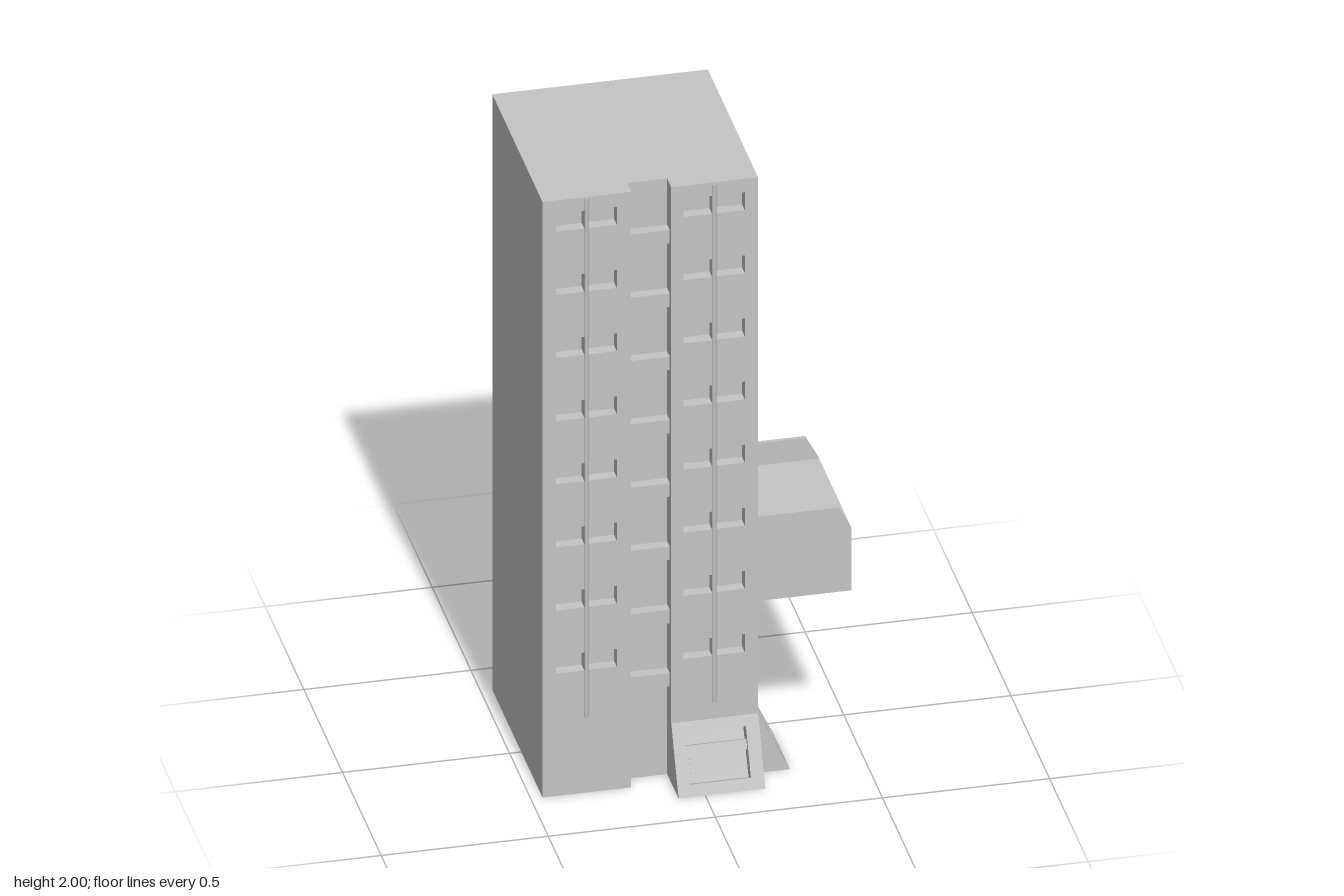
import * as THREE from 'three';

const concrete = new THREE.MeshStandardMaterial({ color: 0xc4c4c4 });
concrete.name = 'concrete grey';

function add(parent, name, geometry) {
  const mesh = new THREE.Mesh(geometry, concrete);
  mesh.name = name;
  parent.add(mesh);
  return mesh;
}

// Box given by its limits on each axis
function block(x0, x1, y0, y1, z0, z1) {
  return new THREE.BoxGeometry(x1 - x0, y1 - y0, z1 - z0)
    .translate((x0 + x1) / 2, (y0 + y1) / 2, (z0 + z1) / 2);
}

// Upright slab with rectangular openings [x0, x1, y0, y1]; front face at z = 0
function slab(points, openings, depth) {
  const shape = new THREE.Shape(points.map(([x, y]) => new THREE.Vector2(x, y)));
  for (const [x0, x1, y0, y1] of openings) {
    shape.holes.push(new THREE.Path([
      new THREE.Vector2(x0, y0), new THREE.Vector2(x0, y1),
      new THREE.Vector2(x1, y1), new THREE.Vector2(x1, y0),
    ]));
  }
  return new THREE.ExtrudeGeometry(shape, { depth, bevelEnabled: false }).translate(0, 0, -depth);
}

const rect = (x0, x1, y0, y1) => [[x0, y0], [x1, y0], [x1, y1], [x0, y1]];

// Turns a front slab so that it faces +x (its x becomes -z)
const faceSide = (geometry, x) => geometry.rotateY(Math.PI / 2).translate(x, 0, 0);

// Leans an upright piece back along the bay slope
function lean(geometry) {
  const p = geometry.attributes.position;
  for (let i = 0; i < p.count; i++) {
    const y = p.getY(i), d = p.getZ(i);
    p.setXYZ(i, p.getX(i), Math.max(0, y + 0.43 * d), 0.095 - 0.475 * y + 0.9 * d);
  }
  geometry.computeVertexNormals();
  return geometry;
}

// Sloped ground-floor bay with a recessed two-part window
function makeBay(name, width, x0, x1) {
  const bay = new THREE.Group();
  bay.name = name;
  add(bay, 'slopedFace', lean(slab(rect(0, width, 0, 0.2), [[x0, x1, 0.033, 0.17]], 0.04)));
  add(bay, 'bayPane', lean(block(0.01, width - 0.01, 0, 0.19, -0.045, -0.04)));
  add(bay, 'windowBar', lean(block(x0, x1, 0.108, 0.135, -0.04, -0.012)));
  add(bay, 'lowerPanel', lean(block(x0 + 0.015, x1 - 0.015, 0.055, 0.1, -0.04, -0.034)));
  // Triangular cheeks closing both ends
  for (const x of [0, width - 0.015]) {
    const cheek = new THREE.Shape([
      new THREE.Vector2(0, 0), new THREE.Vector2(0, 0.2), new THREE.Vector2(-0.095, 0),
    ]);
    add(bay, 'cheek', new THREE.ExtrudeGeometry(cheek, { depth: 0.015, bevelEnabled: false })
      .rotateY(Math.PI / 2).translate(x, 0, 0));
  }
  return bay;
}

export function createModel() {
  const model = new THREE.Group();
  model.name = 'towerBlock';

  // Tower core and the backs of the front windows
  add(model, 'core', block(-0.465, 0.14, 0, 2, -0.375, 0.222));
  add(model, 'leftBacking', block(-0.465, -0.2, 0, 2, 0.222, 0.24));
  add(model, 'rightBacking', block(-0.08, 0.14, 0, 2, 0.222, 0.24));

  // Front walls with paired windows on eight floors
  const pairs = (xs) => {
    const list = [];
    for (let i = 0; i < 8; i++) {
      const y = 1.895 - i * 0.212;
      for (const [a, b] of xs) list.push([a, b, y, y + 0.06]);
    }
    return list;
  };
  add(model, 'frontLeftWall', slab(rect(-0.465, -0.2, 0, 2),
    pairs([[-0.425, -0.34], [-0.328, -0.243]]), 0.035)).position.z = 0.275;
  add(model, 'frontRightWall', slab(rect(-0.08, 0.18, 0, 2),
    [...pairs([[-0.043, 0.042], [0.056, 0.14]]), [-0.045, 0.14, 0.015, 0.172]], 0.035)).position.z = 0.275;

  // Side wall with its column of windows, the doorway and the bay opening
  const sideOpenings = [[-0.06, 0.155, 0.005, 0.205], [-0.235, -0.095, 0.015, 0.172]];
  for (let i = 0; i < 7; i++) {
    const y = 1.735 - i * 0.159;
    sideOpenings.push([-0.06, 0.155, y, y + 0.11]);
  }
  for (const y of [0.255, 0.415]) sideOpenings.push([-0.06, 0.155, y, y + 0.11]);
  add(model, 'sideWall', faceSide(slab(rect(-0.24, 0.375, 0, 2), sideOpenings, 0.04), 0.18));

  // Balcony bands in the front recess
  for (let i = 0; i < 8; i++) {
    const y = 1.8 - i * 0.2125;
    add(model, 'recessBand', block(-0.2, -0.08, y, y + 0.045, 0.215, 0.255));
  }

  // Drain pipes
  const pipe = (x, z, y0, y1) => add(model, 'drainPipe',
    new THREE.CylinderGeometry(0.006, 0.006, y1 - y0, 8).translate(x, (y0 + y1) / 2, z));
  pipe(-0.334, 0.275, 0.255, 1.995);
  pipe(0.049, 0.275, 0.255, 1.995);
  pipe(0.181, 0.066, 0.26, 0.58);

  // Projecting side wing
  const wing = new THREE.Group();
  wing.name = 'sideWing';
  model.add(wing);
  add(wing, 'wingBody', block(0.18, 0.43, 0.577, 0.785, -0.147, 0.265));
  add(wing, 'wingEnd', faceSide(slab(rect(-0.265, 0.147, 0.577, 0.785),
    [[-0.262, 0.144, 0.68, 0.735], [-0.262, 0.144, 0.59, 0.632]], 0.03), 0.46));
  const cheek = [[0.18, 0.577], [0.46, 0.577], [0.46, 0.785], [0.42, 0.86], [0.18, 0.86]];
  for (const z of [0.275, -0.146]) {
    add(wing, 'wingParapet', slab(cheek, [], 0.011)).position.z = z;
  }
  add(wing, 'wingBracket', block(0.18, 0.192, 0.575, 0.585, -0.165, -0.157));

  // Ground-floor bays on the front and side
  const frontBay = makeBay('frontBay', 0.26, 0.035, 0.22);
  frontBay.position.set(-0.08, 0, 0.275);
  const sideBay = makeBay('sideBay', 0.215, 0.04, 0.18);
  sideBay.position.set(0.18, 0, 0.275);
  sideBay.rotation.y = Math.PI / 2;
  model.add(frontBay, sideBay);

  // Small post outside the doorway
  add(model, 'doorPost', new THREE.CylinderGeometry(0.004, 0.004, 0.022, 8).translate(0.245, 0.011, -0.045));

  return model;
}
